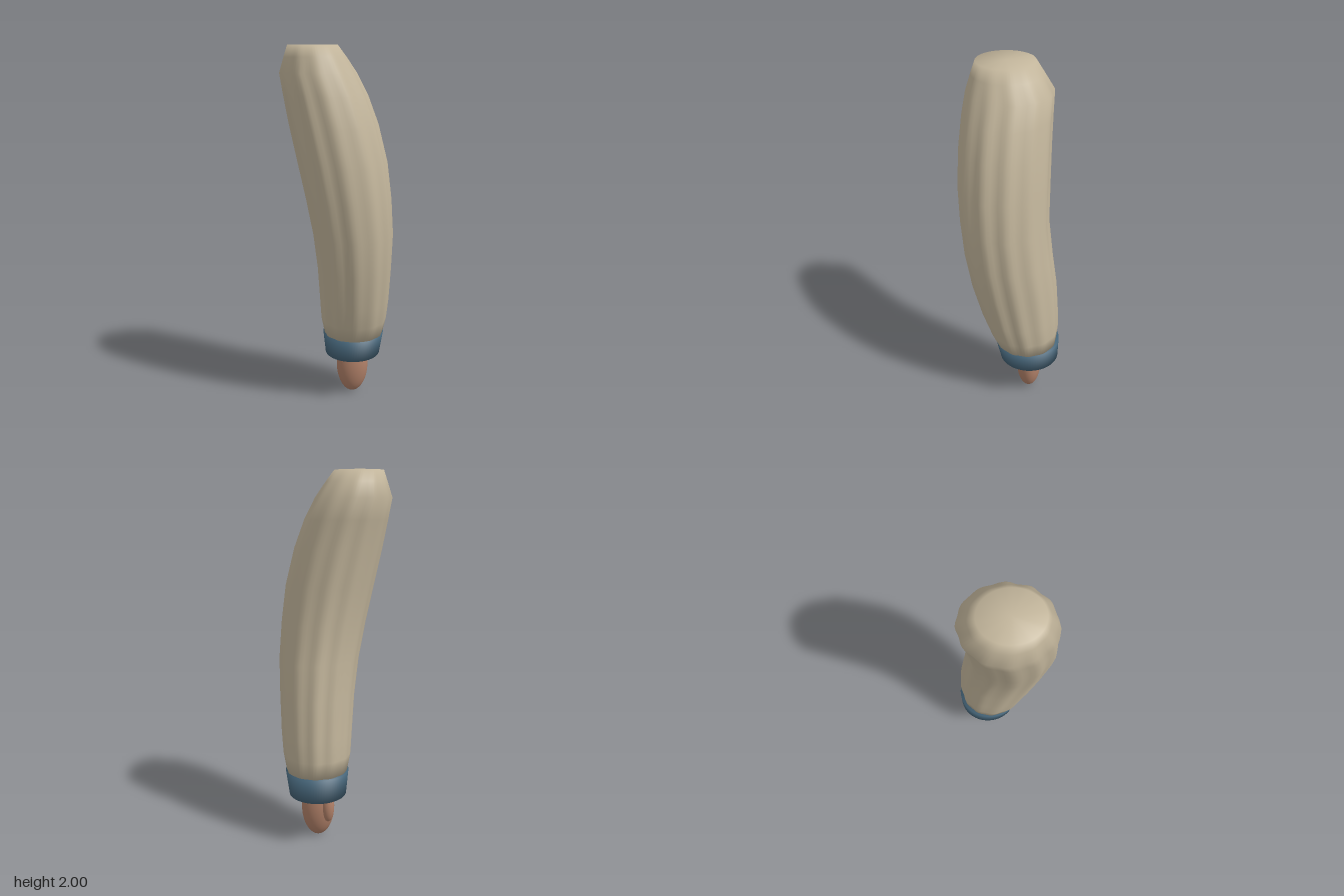
import * as THREE from 'three';

const SEGMENTS = 72;

// Closed smooth loft through sections [y, xMin, xMax, zMin, zMax, fluteDepth]
function loft(sections) {
  const pos = [], index = [];
  for (const [y, x0, x1, z0, z1, flute] of sections) {
    for (let j = 0; j < SEGMENTS; j++) {
      const a = (j / SEGMENTS) * Math.PI * 2;
      const r = 1 - flute * (1 - Math.cos(12 * a)) * (0.75 + 0.25 * Math.sin(3 * a + 1));
      pos.push((x0 + x1) / 2 + ((x1 - x0) / 2) * r * Math.cos(a), y,
        (z0 + z1) / 2 + ((z1 - z0) / 2) * r * Math.sin(a));
    }
  }
  const last = sections.length - 1;
  for (const s of [sections[0], sections[last]]) pos.push((s[1] + s[2]) / 2, s[0], (s[3] + s[4]) / 2);
  const bottom = sections.length * SEGMENTS, top = bottom + 1;
  for (let j = 0; j < SEGMENTS; j++) {
    const k = (j + 1) % SEGMENTS;
    for (let i = 0; i < last; i++) {
      const a = i * SEGMENTS + j, b = i * SEGMENTS + k;
      index.push(a, a + SEGMENTS, b, b, a + SEGMENTS, b + SEGMENTS);
    }
    index.push(j, k, bottom, last * SEGMENTS + j, top, last * SEGMENTS + k);
  }
  const g = new THREE.BufferGeometry();
  g.setAttribute('position', new THREE.Float32BufferAttribute(pos, 3));
  g.setIndex(index);
  g.computeVertexNormals();
  return g;
}

export function createModel() {
  const model = new THREE.Group();
  model.name = 'sleevedArm';
  const material = (name, color) => {
    const m = new THREE.MeshStandardMaterial({ color });
    m.name = name;
    return m;
  };
  const cloth = material('beigeCloth', 0xc2b59b);
  const trim = material('blueTrim', 0x456478);
  const skin = material('skin', 0xb08068);

  const add = (name, geometry, mat) => {
    const mesh = new THREE.Mesh(geometry, mat);
    mesh.name = name;
    model.add(mesh);
    return mesh;
  };

  // Bent sleeve with soft lengthwise folds
  add('sleeve', loft([
    [0.385, -0.075, 0.26, -0.262, 0.088, 0.015],
    [0.48, -0.093, 0.28, -0.27, 0.13, 0.025],
    [0.6, -0.1, 0.29, -0.265, 0.17, 0.03],
    [0.8, -0.112, 0.298, -0.25, 0.22, 0.03],
    [1.0, -0.135, 0.302, -0.222, 0.253, 0.03],
    [1.2, -0.172, 0.288, -0.2, 0.27, 0.03],
    [1.4, -0.215, 0.263, -0.203, 0.276, 0.03],
    [1.6, -0.258, 0.213, -0.208, 0.263, 0.03],
    [1.75, -0.286, 0.157, -0.215, 0.243, 0.028],
    [1.86, -0.305, 0.1, -0.222, 0.22, 0.02],
    [1.94, -0.28, 0.045, -0.17, 0.193, 0.01],
    [2.0, -0.26, 0.0, -0.13, 0.17, 0],
  ]), cloth);

  // Cuff
  add('cuff', loft([
    [0.26, -0.07, 0.245, -0.276, 0.065, 0],
    [0.39, -0.083, 0.265, -0.278, 0.092, 0],
  ]), trim);

  // Hand and thumb
  const ball = new THREE.SphereGeometry(1, 32, 24);
  const ellipsoid = (name, center, radii) => {
    const mesh = add(name, ball, skin);
    mesh.position.set(...center);
    mesh.scale.set(...radii);
  };
  ellipsoid('hand', [0.087, 0.175, -0.104], [0.091, 0.17, 0.071]);
  ellipsoid('thumb', [0.03, 0.185, -0.15], [0.034, 0.085, 0.034]);

  return model;
}
